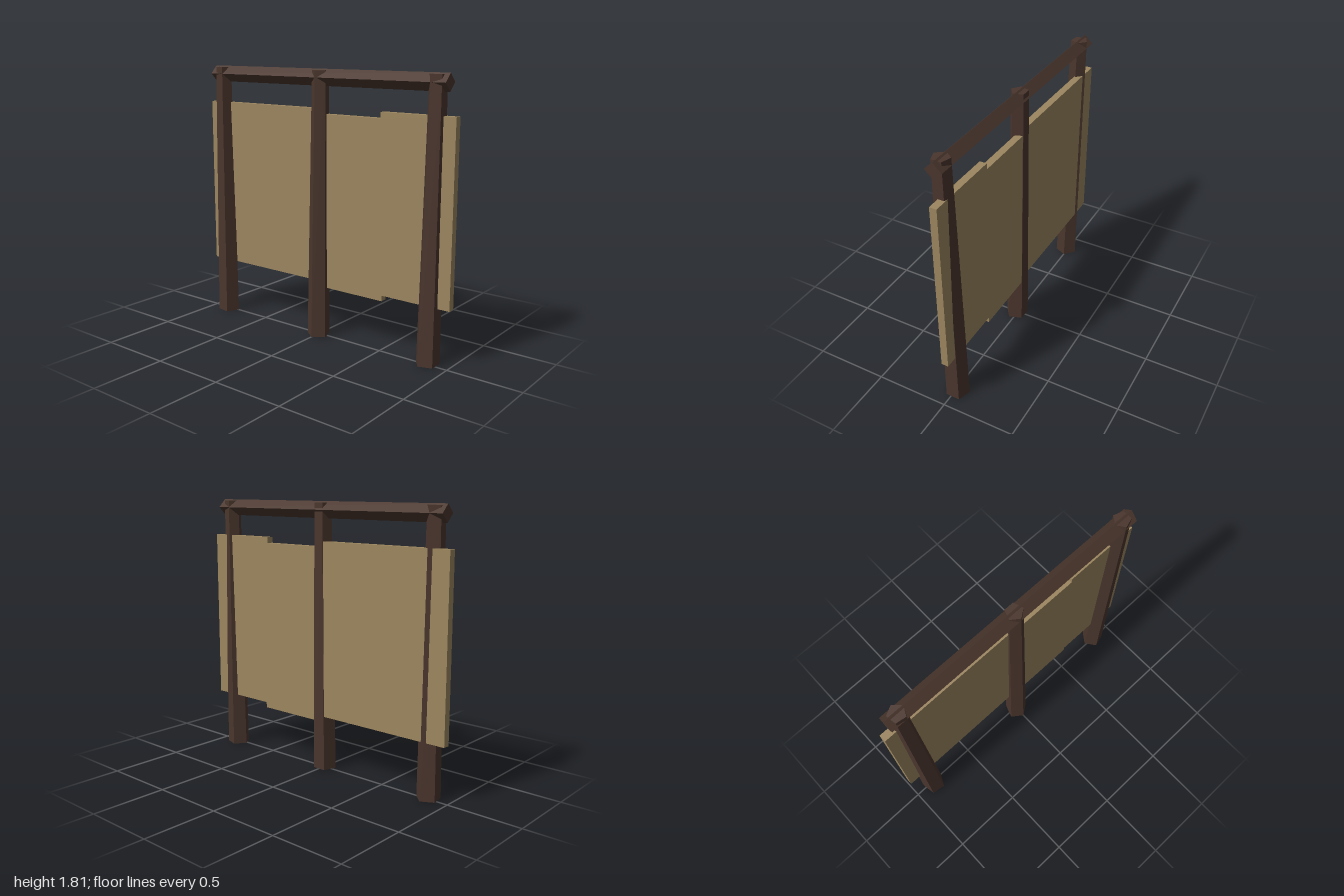
import * as THREE from 'three';

export function createModel() {
  const model = new THREE.Group();
  const darkWood = new THREE.MeshStandardMaterial({ color: 0x4a362d, flatShading: true });
  darkWood.name = 'darkWood';
  const paleBoard = new THREE.MeshStandardMaterial({ color: 0x9c865f, flatShading: true });
  paleBoard.name = 'paleBoard';

  const add = (name, geometry, material) => {
    const mesh = new THREE.Mesh(geometry, material);
    mesh.name = name;
    model.add(mesh);
    return mesh;
  };

  // Tapered five-sided post whose axis leans from the base to the top point
  const postHeight = 1.803;
  const addPost = (name, base, top, turn) => {
    const g = new THREE.CylinderGeometry(0.058, 0.08, postHeight, 5, 1, false, THREE.MathUtils.degToRad(turn));
    g.translate(0, postHeight / 2, 0);
    const p = g.attributes.position;
    for (let i = 0; i < p.count; i++) {
      const t = p.getY(i) / postHeight;
      p.setX(i, p.getX(i) + THREE.MathUtils.lerp(base[0], top[0], t));
      p.setZ(i, p.getZ(i) + THREE.MathUtils.lerp(base[1], top[1], t));
    }
    g.computeVertexNormals();
    add(name, g, darkWood);
  };
  addPost('rightPost', [-0.852, 0.012], [-0.868, -0.008], 28);
  addPost('middlePost', [0, 0.009], [0, -0.01], 0);
  addPost('leftPost', [0.852, -0.013], [0.868, -0.01], -90);

  // Square top beam set on its edge
  const beam = add('topBeam', new THREE.BoxGeometry(1.9, 0.078, 0.078), darkWood);
  beam.position.set(0, 1.757, -0.012);
  beam.rotation.x = Math.PI / 4;

  // Board with a lowered middle section
  const outline = [
    [-1, 0.378], [0.02, 0.378], [0.02, 0.34], [0.505, 0.34], [0.505, 0.378], [1, 0.378],
    [1, 1.56], [0.475, 1.56], [0.475, 1.52], [0.02, 1.52], [0.02, 1.555], [-1, 1.555],
  ].map(([x, y]) => new THREE.Vector2(x, y));
  const board = add('board', new THREE.ExtrudeGeometry(new THREE.Shape(outline), { depth: 0.048, bevelEnabled: false }), paleBoard);
  board.position.z = -0.054;

  return model;
}
